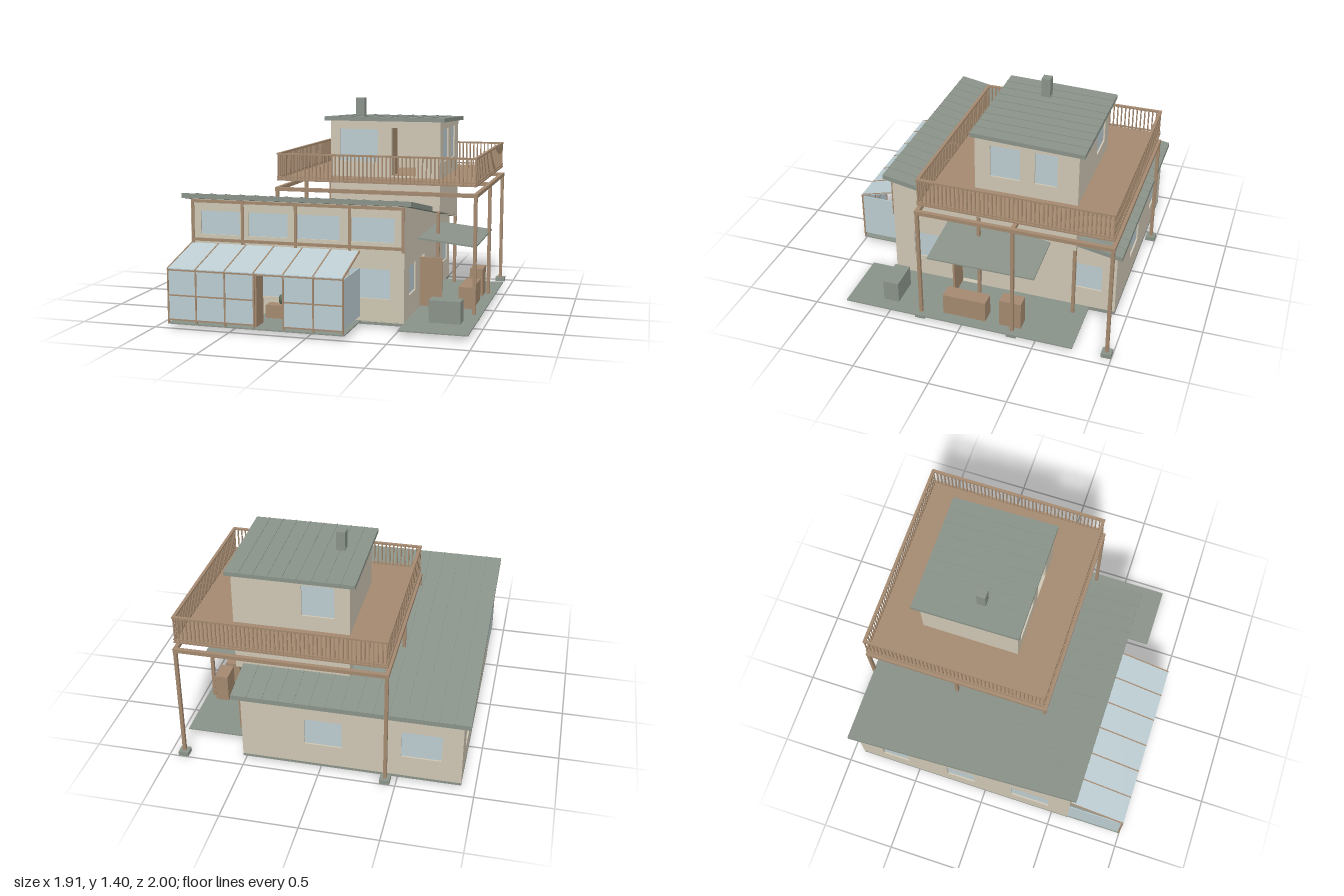
import * as THREE from 'three';

const mat = (name, color) => Object.assign(new THREE.MeshStandardMaterial({ color }), { name });

export function createModel() {
  const plaster = mat('plaster', 0xcfc7b4);
  const glass = mat('glass', 0xbccdd2);
  const timber = mat('timber', 0xa58a70);
  const slate = mat('slate', 0x8a938a);
  const leaf = mat('leaf', 0x5d6f5a);
  const model = new THREE.Group();

  const group = (name, parent = model) => {
    const g = new THREE.Group();
    g.name = name;
    parent.add(g);
    return g;
  };
  const add = (parent, name, geo, material) => {
    const m = new THREE.Mesh(geo, material);
    m.name = name;
    parent.add(m);
    return m;
  };
  // Box given by its minimum and maximum corners
  const box = (parent, name, material, x0, x1, y0, y1, z0, z1) => {
    const m = add(parent, name, new THREE.BoxGeometry(x1 - x0, y1 - y0, z1 - z0), material);
    m.position.set((x0 + x1) / 2, (y0 + y1) / 2, (z0 + z1) / 2);
    return m;
  };
  const extrude = (pts, holes, depth) => {
    const s = new THREE.Shape(pts.map(p => new THREE.Vector2(...p)));
    for (const [u0, y0, u1, y1] of holes) {
      s.holes.push(new THREE.Path([[u0, y0], [u0, y1], [u1, y1], [u1, y0]].map(p => new THREE.Vector2(...p))));
    }
    return new THREE.ExtrudeGeometry(s, { depth, bevelEnabled: false });
  };
  // Profile in (z, y) swept from x0 to x1
  const prism = (parent, name, material, pts, x0, x1, holes = []) => {
    const m = add(parent, name, extrude(pts, holes, x1 - x0), material);
    m.rotation.y = -Math.PI / 2;
    m.position.x = x1;
    return m;
  };
  const T = 0.03;
  // Wall facing front or back: windows are glazed, doors stay open
  const wallZ = (parent, name, pts, z, windows, doors = []) => {
    add(parent, name, extrude(pts, [...windows, ...doors], T), plaster).position.z = z;
    for (const [a, b, c, d] of windows) box(parent, 'window', glass, a, c, b, d, z + 0.011, z + 0.019);
  };
  // Wall facing either side
  const wallX = (parent, name, pts, x, windows, doors = []) => {
    prism(parent, name, plaster, pts, x, x + T, [...windows, ...doors]);
    for (const [a, b, c, d] of windows) box(parent, 'window', glass, x + 0.011, x + 0.019, b, d, a, c);
  };
  const rect = (a, b, c, d) => [[a, b], [c, b], [c, d], [a, d]];
  // Sloped roof sheet with standing seams
  const roof = (parent, name, x0, x1, zb, yb, zf, yf, t, seams) => {
    prism(parent, name, slate, [[zb, yb], [zf, yf], [zf, yf + t], [zb, yb + t]], x0, x1);
    for (let i = 1; i < seams; i++) {
      const x = x0 + (x1 - x0) * i / seams;
      prism(parent, 'roofSeam', slate,
        [[zb, yb + t], [zf, yf + t], [zf, yf + t + 0.004], [zb, yb + t + 0.004]], x - 0.003, x + 0.003);
    }
  };

  // Ground slabs
  box(model, 'foundation', slate, -0.91, 0.52, 0.012, 0.036, -0.92, 0.62);
  box(model, 'greenhouseFloor', slate, -0.91, 0.24, 0.028, 0.036, 0.62, 1);
  box(model, 'patio', slate, 0.52, 0.955, 0.028, 0.036, -0.75, 0.8);

  // Main house under one sloping roof
  const house = group('house');
  const eave = z => 0.657 + 0.184 * z;
  const lo = 0.18, hi = 0.37;
  const upper = [[-0.84, -0.57], [-0.51, -0.245], [-0.18, 0.1], [0.18, 0.455]].map(([a, b]) => [a, 0.54, b, 0.695]);
  wallZ(house, 'frontWall', rect(-0.91, 0.03, 0.52, 0.772), 0.62 - T,
    [...upper, [-0.5, 0.15, -0.2, hi], [0.16, lo, 0.43, hi]]);
  wallZ(house, 'backWall', rect(-0.91, 0.03, 0.52, eave(-0.92) + 0.004), -0.92,
    [[-0.14, lo, 0.105, hi], [-0.78, lo, -0.52, hi]]);
  const zb = -0.92 + T, zf = 0.62 - T;
  const side = [[zb, 0.03], [zf, 0.03], [zf, eave(zf) + 0.003], [zb, eave(zb) + 0.003]];
  wallX(house, 'leftWall', side, 0.52 - T, [[0.285, lo, 0.48, hi], [-0.825, lo, -0.65, hi]], [[0, 0.04, 0.14, hi]]);
  wallX(house, 'rightWall', side, -0.91, [[-0.75, lo, -0.56, hi], [-0.27, lo, -0.07, hi], [0.2, lo, 0.47, hi]]);
  box(house, 'sideDoor', timber, 0.52, 0.67, 0.04, hi, 0.137, 0.15);
  roof(house, 'mainRoof', -0.955, 0.57, -0.96, eave(-0.96), 0.663, eave(0.663), 0.032, 15);

  // Timber framing on the front
  for (const x of [-0.895, -0.55, -0.19, 0.168, 0.512]) {
    box(house, 'frontStud', timber, x - 0.009, x + 0.009, x === -0.19 ? 0.04 : 0.48, 0.77, 0.62, 0.628);
  }
  for (const y of [0.505, 0.758]) box(house, 'frontRail', timber, -0.905, 0.52, y - 0.01, y + 0.01, 0.62, 0.627);

  // Tower rising through the main roof
  const tower = group('tower');
  wallZ(tower, 'towerFront', rect(-0.14, 0.657, 0.62, 1.257), -T,
    [[-0.075, 0.98, 0.19, 1.2]], [[0.285, 0.885, 0.455, 1.21]]);
  wallZ(tower, 'towerBack', rect(-0.14, 0.535, 0.62, 1.233), -0.67, [[-0.04, 0.98, 0.17, 1.2]]);
  const b = -0.67 + T, f = -T;
  const towerSide = [[b, eave(b)], [f, eave(f)], [f, 1.256], [b, 1.234]];
  wallX(tower, 'towerLeft', towerSide, 0.62 - T, [[-0.295, 0.98, -0.1, 1.2], [-0.535, 0.98, -0.39, 1.2]]);
  wallX(tower, 'towerRight', towerSide, -0.14, []);
  prism(tower, 'towerSoffit', plaster,
    [[-0.67, eave(-0.67)], [0, eave(0)], [0, eave(0) + 0.01], [-0.67, eave(-0.67) + 0.01]], 0.565, 0.62);
  box(tower, 'towerDoor', timber, 0.272, 0.285, 0.885, 1.21, -0.18, -0.02);
  roof(tower, 'towerRoof', -0.18, 0.65, -0.71, 1.229, 0.022, 1.256, 0.027, 9);
  box(tower, 'chimney', slate, -0.03, 0.03, 1.23, 1.4, -0.31, -0.25);
  for (const z of [-0.015, -0.66]) {
    box(tower, 'towerPost', timber, 0.597, 0.619, 0.036, eave(z) + 0.003, z - 0.01, z + 0.01);
  }

  // Raised deck on posts
  const deck = group('deck');
  const X0 = -0.435, X1 = 0.91, Z0 = -0.97, Z1 = 0.28;
  for (const x of [-0.43, 0.907]) {
    for (const z of [0.283, -0.34, -0.965]) {
      box(deck, 'deckPost', timber, x - 0.011, x + 0.011, 0.03, 0.797, z - 0.011, z + 0.011);
      box(deck, 'postFooting', slate, x - 0.033, x + 0.033, 0, 0.03, z - 0.033, z + 0.033);
    }
    box(deck, 'sideBeam', timber, x - 0.013, x + 0.013, 0.797, 0.822, -0.978, 0.296);
  }
  for (const z of [0.283, -0.34, -0.965]) {
    box(deck, 'crossBeam', timber, -0.417, 0.894, 0.797, 0.822, z - 0.013, z + 0.013);
  }
  box(deck, 'deckFloor', timber, X0, X1, 0.865, 0.876, Z0, Z1);

  // Railing around the deck
  const railing = group('railing', deck);
  for (const [y, h, w] of [[0.885, 0.008, 0.012], [1.038, 0.012, 0.02]]) {
    for (const z of [Z0, Z1 - w]) box(railing, 'rail', timber, X0, X1, y, y + h, z, z + w);
    for (const x of [X0, X1 - w]) box(railing, 'rail', timber, x, x + w, y, y + h, Z0 + w, Z1 - w);
  }
  const baluster = (x, z) => box(railing, 'baluster', timber, x - 0.004, x + 0.004, 0.872, 1.04, z - 0.004, z + 0.004);
  const nx = 50, nz = 46, inset = 0.008;
  for (let i = 0; i <= nx; i++) {
    const x = X0 + inset + (X1 - X0 - 2 * inset) * i / nx;
    baluster(x, Z0 + inset);
    baluster(x, Z1 - inset);
  }
  for (let i = 1; i < nz; i++) {
    const z = Z0 + inset + (Z1 - Z0 - 2 * inset) * i / nz;
    baluster(X0 + inset, z);
    baluster(X1 - inset, z);
  }

  // Lean-to greenhouse with an open door bay
  const green = group('greenhouse');
  const gx = i => -0.91 + i * 0.191;
  const slopeBar = (name, m, x0, x1, t, lift) => prism(green, name, m,
    [[0.622, 0.476 + lift], [1, 0.378 + lift], [1, 0.378 + lift + t], [0.622, 0.476 + lift + t]], x0, x1);
  slopeBar('glassRoof', glass, gx(0), gx(6), 0.006, 0);
  for (let i = 0; i <= 6; i++) {
    const x = THREE.MathUtils.clamp(gx(i), gx(0) + 0.004, gx(6) - 0.004);
    slopeBar('rafter', timber, x - 0.004, x + 0.004, 0.01, -0.001);
    box(green, 'mullion', timber, x - 0.005, x + 0.005, 0.036, 0.38, 0.988, 1);
    if (i < 6 && i !== 3) {
      box(green, 'frontPane', glass, gx(i), gx(i + 1), 0.06, 0.37, 0.991, 0.996);
      box(green, 'midRail', timber, gx(i), gx(i + 1), 0.208, 0.217, 0.989, 0.999);
      box(green, 'bottomRail', timber, gx(i), gx(i + 1), 0.052, 0.061, 0.989, 0.999);
    }
  }
  box(green, 'topRail', timber, gx(0), gx(6), 0.368, 0.379, 0.989, 0.999);
  for (const x of [gx(0), gx(6) - 0.005]) box(green, 'sidePane', glass, x, x + 0.005, 0.065, 0.375, 0.62, 0.988);
  box(green, 'greenhouseDoor', timber, gx(3), gx(3) + 0.01, 0.04, 0.365, 0.855, 0.975);
  box(green, 'planter', timber, -0.36, -0.06, 0.036, 0.12, 0.64, 0.725);
  for (const x of [-0.265, -0.17]) {
    const p = add(green, 'plant', new THREE.IcosahedronGeometry(0.02, 1), leaf);
    p.scale.y = 1.7;
    p.position.set(x, 0.153, 0.683);
  }

  // Patio awning and furniture
  const patio = group('patioFittings');
  const awning = extrude([[0.52, 0.503], [0.905, 0.464], [0.905, 0.474], [0.52, 0.514]], [], 0.71);
  add(patio, 'awning', awning, slate).position.z = -0.48;
  box(patio, 'storageBox', slate, 0.665, 0.868, 0.036, 0.18, 0.46, 0.565);
  box(patio, 'bench', timber, 0.78, 0.88, 0.036, 0.18, -0.15, 0.14);
  box(patio, 'cabinet', timber, 0.79, 0.88, 0.036, 0.228, -0.39, -0.245);
  return model;
}
